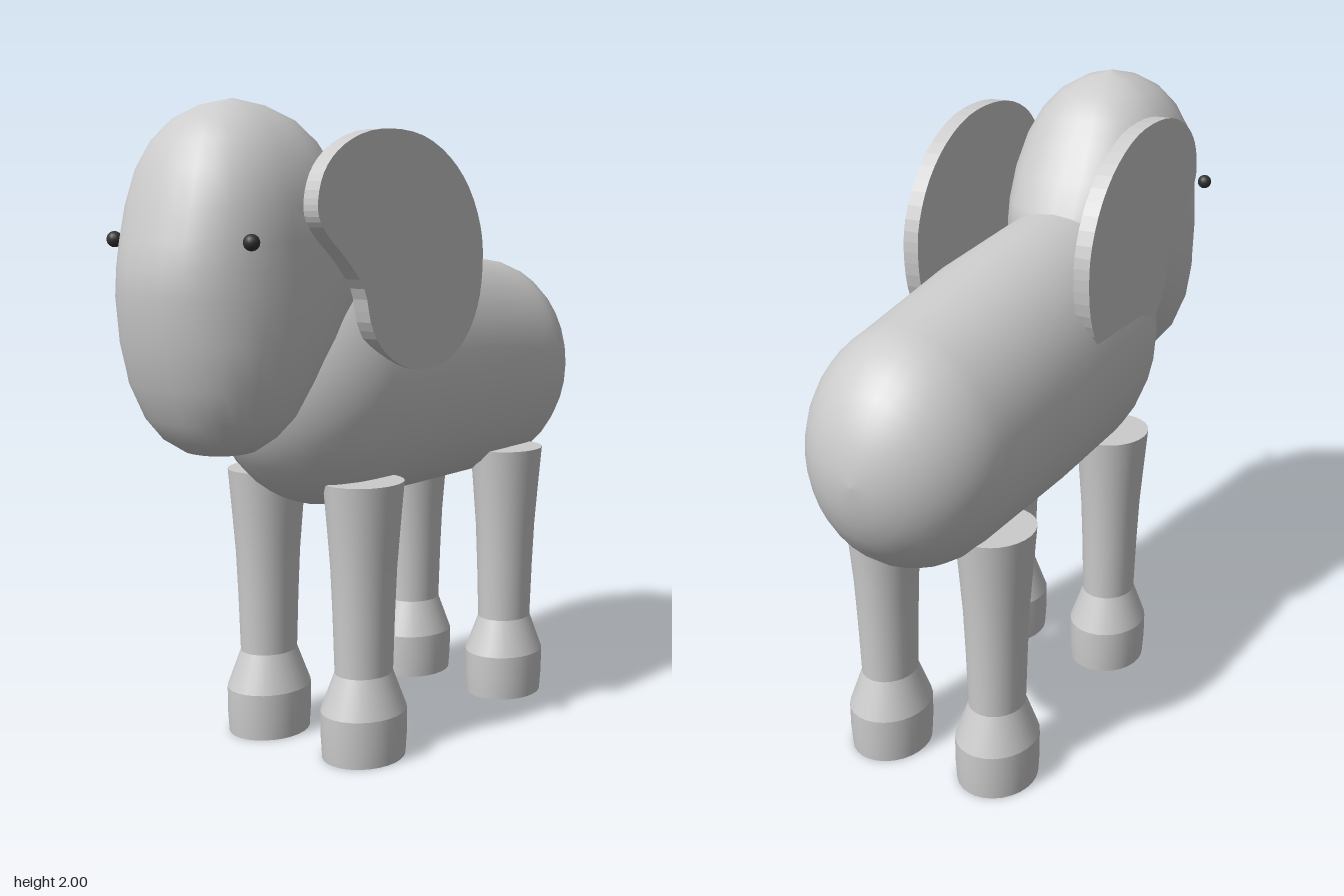
import * as THREE from 'three';

const grey = new THREE.MeshStandardMaterial({ color: 0xcccccc });
const dark = new THREE.MeshStandardMaterial({ color: 0x333333 });

// Closed skin through rings; point(station, angle) gives a ring corner
function loft(stations, sides, point) {
  const pos = [], index = [];
  stations.forEach((s, i) => {
    for (let j = 0; j < sides; j++) {
      pos.push(...point(s, (j / sides) * Math.PI * 2));
      if (i === stations.length - 1) continue;
      const a = i * sides + j, b = i * sides + ((j + 1) % sides);
      index.push(a, b, a + sides, b, b + sides, a + sides);
    }
  });
  const geo = new THREE.BufferGeometry();
  geo.setAttribute('position', new THREE.Float32BufferAttribute(pos, 3));
  geo.setIndex(index);
  geo.computeVertexNormals();
  return geo;
}

// Body: tapered elliptical barrel with a rounded cap at each end
function bodyGeometry() {
  const stations = [], steps = 9;
  for (let i = 0; i <= steps; i++) {
    const t = (i / steps) * Math.PI / 2, r = Math.sin(t);
    stations.push([-0.22 - 0.39 * Math.cos(t), 1.19, 0.42 * r, 0.325 * r]);
  }
  stations.push([0.18, 1.172, 0.402, 0.333]);
  for (let i = 0; i <= steps; i++) {
    const t = (i / steps) * Math.PI / 2, r = Math.cos(t);
    stations.push([0.63 + 0.345 * Math.sin(t), 1.14, 0.37 * r, 0.312 * r]);
  }
  return loft(stations, 32, ([x, cy, ry, rz], a) =>
    [x, cy + ry * Math.cos(a), rz * Math.sin(a)]);
}

// Head: stations of [height, front x, back x, half width]
function headGeometry() {
  const stations = [
    [0.985, -0.68, -0.66, 0], [1.0, -0.78, -0.585, 0.1], [1.04, -0.84, -0.53, 0.16],
    [1.1, -0.885, -0.475, 0.21], [1.2, -0.93, -0.41, 0.25], [1.32, -0.962, -0.3, 0.272],
    [1.45, -0.98, -0.19, 0.28], [1.53, -0.975, -0.17, 0.28], [1.6, -0.96, -0.19, 0.28],
    [1.7, -0.93, -0.25, 0.277], [1.8, -0.895, -0.31, 0.253], [1.88, -0.85, -0.365, 0.21],
    [1.94, -0.79, -0.43, 0.155], [1.98, -0.71, -0.52, 0.085], [2.0, -0.62, -0.61, 0],
  ];
  const round = (v) => Math.sign(v) * Math.abs(v) ** 0.87;
  return loft(stations, 32, ([y, front, back, w], a) => [
    (front + back) / 2 + ((back - front) / 2) * round(Math.cos(a)), y, -w * round(Math.sin(a))]);
}

// Ear: flat slab with a curled front edge
function earGeometry() {
  const outline = [
    [-0.635, 1.72], [-0.61, 1.79], [-0.55, 1.85], [-0.44, 1.9], [-0.3, 1.918], [-0.14, 1.9],
    [0, 1.835], [0.1, 1.74], [0.16, 1.62], [0.17, 1.52], [0.15, 1.4], [0.09, 1.3],
    [-0.01, 1.23], [-0.13, 1.21], [-0.25, 1.23], [-0.35, 1.29], [-0.4, 1.36], [-0.43, 1.46],
    [-0.5, 1.54], [-0.6, 1.625], [-0.632, 1.67],
  ].map(([x, y]) => new THREE.Vector3(x, y, 0));
  const smooth = new THREE.CatmullRomCurve3(outline, true).getPoints(64).slice(0, -1);
  const shape = new THREE.Shape(smooth.map((p) => new THREE.Vector2(p.x, p.y)));
  return new THREE.ExtrudeGeometry(shape, { depth: 0.052, bevelEnabled: false });
}

// Leg: turned column flaring into a heavy foot; repeated points keep edges sharp
function legGeometry() {
  const profile = [
    [0, 0], [0.142, 0], [0.142, 0], [0.147, 0.07], [0.147, 0.15], [0.147, 0.15],
    [0.099, 0.27], [0.099, 0.27], [0.105, 0.45], [0.112, 0.6], [0.124, 0.74],
    [0.136, 0.87], [0.136, 0.87], [0, 0.87],
  ].map(([r, y]) => new THREE.Vector2(r, y));
  return new THREE.LatheGeometry(profile, 28).scale(1, 1, 0.87);
}

export function createModel() {
  const model = new THREE.Group();
  const add = (name, geo, x = 0, y = 0, z = 0, material = grey) => {
    const mesh = new THREE.Mesh(geo, material);
    mesh.name = name;
    mesh.position.set(x, y, z);
    model.add(mesh);
  };

  add('body', bodyGeometry());
  add('head', headGeometry());

  // Ears
  const ear = earGeometry();
  add('leftEar', ear, 0, 0, 0.28);
  add('rightEar', ear, 0, 0, -0.31);

  // Paired legs and eyes
  const leg = legGeometry();
  const eye = new THREE.SphereGeometry(0.023, 16, 12);
  for (const side of [1, -1]) {
    add('frontLeg', leg, -0.265, 0, side * 0.197);
    add('backLeg', leg, 0.535, 0, side * 0.197);
    add('eye', eye, -0.83, 1.605, side * 0.265, dark);
  }
  return model;
}
